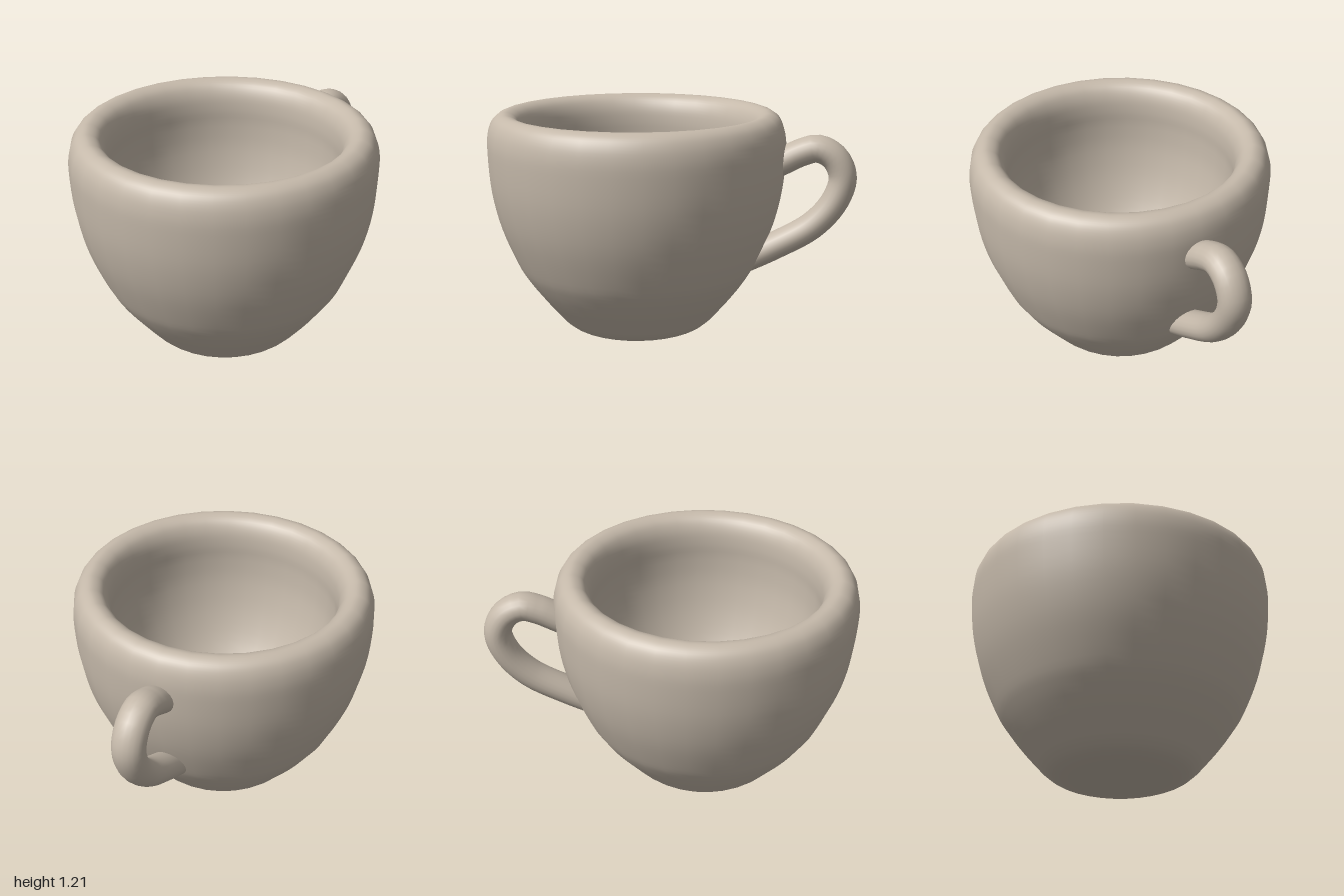
import * as THREE from 'three';

const CUP_X = -0.19; // the bowl sits off-centre so the handle fits within the width

const vectors = (list) => list.map(([x, y]) => new THREE.Vector2(x, y));

export function createModel() {
  const group = new THREE.Group();
  const clay = new THREE.MeshStandardMaterial({ color: 0xc5b9aa });
  clay.name = 'clay';

  const add = (name, geometry, x = 0) => {
    const mesh = new THREE.Mesh(geometry, clay);
    mesh.name = name;
    mesh.position.x = x;
    group.add(mesh);
  };

  // Bowl: up the outer wall, over the rounded rim and down the inner wall
  const wall = new THREE.SplineCurve(vectors([
    [0.2, 0], [0.29, 0.007], [0.36, 0.027], [0.41, 0.063], [0.455, 0.112],
    [0.53, 0.2], [0.605, 0.3], [0.663, 0.4], [0.745, 0.6], [0.793, 0.8],
    [0.81, 1.0], [0.805, 1.1], [0.783, 1.165], [0.75, 1.2], [0.705, 1.212],
    [0.655, 1.188], [0.624, 1.13], [0.614, 1.05], [0.616, 0.95], [0.605, 0.8],
    [0.56, 0.61], [0.475, 0.42], [0.33, 0.23], [0.25, 0.165], [0.17, 0.135],
  ]));
  add('bowl', new THREE.LatheGeometry(wall.getPoints(96), 32), CUP_X);

  // Flat discs closing the bowl below and inside
  add('base', new THREE.CircleGeometry(0.2, 32).rotateX(Math.PI / 2), CUP_X);
  const floor = new THREE.CircleGeometry(0.17, 32).rotateX(-Math.PI / 2);
  add('innerFloor', floor.translate(0, 0.135, 0), CUP_X);

  // Handle: oval tube with both ends buried in the wall
  const path = new THREE.CatmullRomCurve3([
    [0.53, 0.92], [0.62, 0.967], [0.7, 1.007], [0.79, 1.03], [0.878, 0.985],
    [0.925, 0.88], [0.885, 0.745], [0.77, 0.61], [0.565, 0.487], [0.38, 0.395],
  ].map(([x, y]) => new THREE.Vector3(x, y, 0)));
  const handle = new THREE.TubeGeometry(path, 40, 0.075, 20);
  handle.scale(1, 1, 1.18);
  add('handle', handle);

  return group;
}
